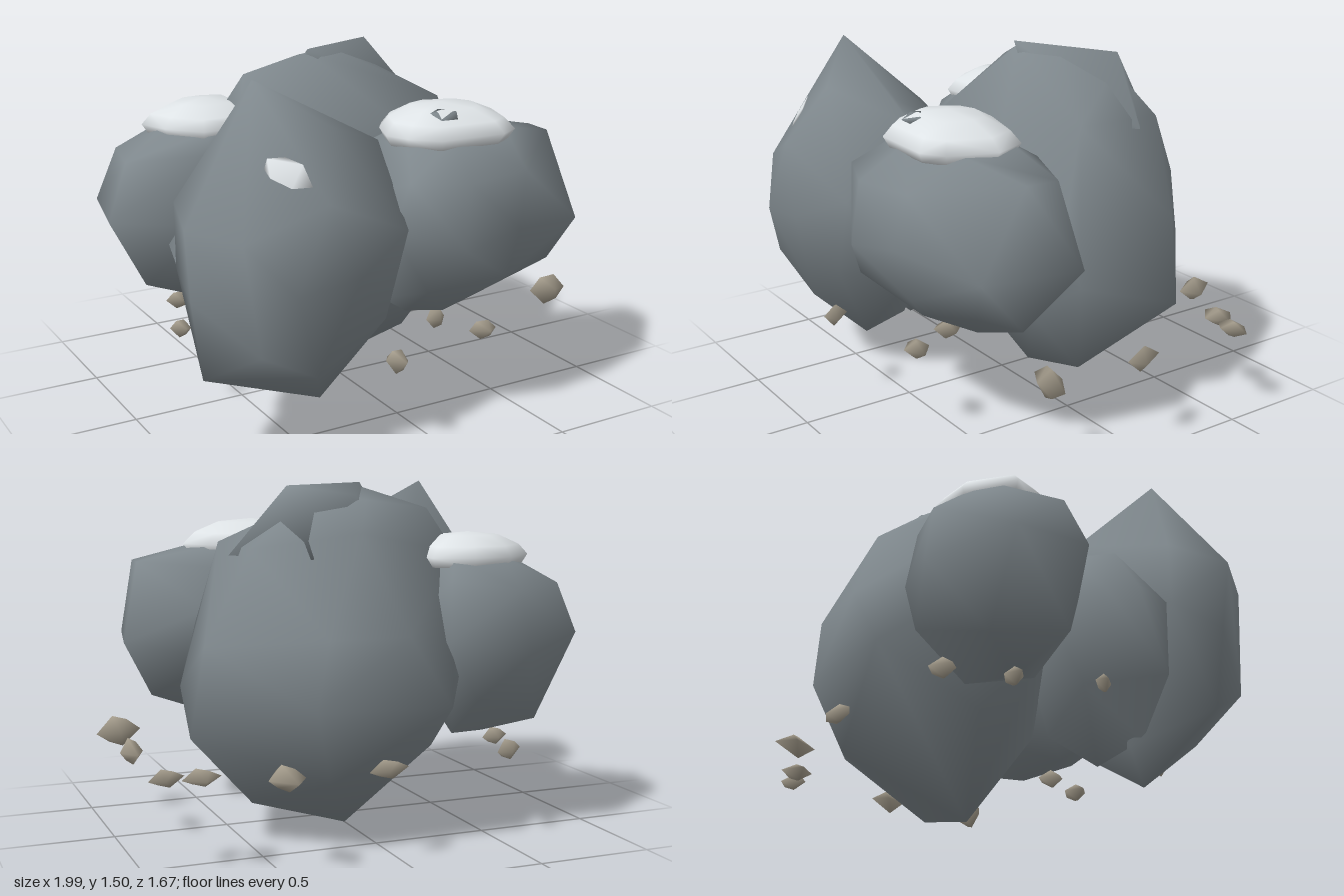
import * as THREE from 'three';
import { mergeVertices } from 'three/addons/utils/BufferGeometryUtils.js';
import { ConvexGeometry } from 'three/addons/geometries/ConvexGeometry.js';

const stone = new THREE.MeshStandardMaterial({ color: 0x7f888d });
stone.name = 'grey stone';
const snow = new THREE.MeshStandardMaterial({ color: 0xdee3e6 });
snow.name = 'pale cap';
const gravel = new THREE.MeshStandardMaterial({ color: 0xa39b8b });
gravel.name = 'tan gravel';

// Smooth-shaded hull around a few corner points
function hull(name, points, material) {
  let g = new ConvexGeometry(points.map((p) => new THREE.Vector3(...p)));
  g.deleteAttribute('normal');
  g = mergeVertices(g, 1e-4);
  g.computeVertexNormals();
  const mesh = new THREE.Mesh(g, material);
  mesh.name = name;
  return mesh;
}

// Low dome: a ground-plan outline, shrinking as it rises
function cap(name, outline, rimY, topY) {
  const n = outline.length;
  const cx = outline.reduce((s, p) => s + p[0], 0) / n;
  const cz = outline.reduce((s, p) => s + p[1], 0) / n;
  const pts = [];
  for (const [k, t] of [[0.9, -0.3], [1, 0.08], [0.85, 0.48], [0.5, 0.87]]) {
    for (const [x, z] of outline) {
      pts.push([cx + (x - cx) * k, rimY + (topY - rimY) * t, cz + (z - cz) * k]);
    }
  }
  pts.push([cx, topY, cz]);
  return hull(name, pts, snow);
}

export function createModel() {
  const model = new THREE.Group();
  model.name = 'boulderCluster';

  // Large rear boulder, pointed at the bottom
  model.add(hull('largeBoulder', [
    [0, 0, -0.15], [0.42, 0.12, -0.12], [0.25, 0.3, -0.62],
    [-0.35, 0.35, -0.3], [-0.1, 0.4, 0.12], [0.4, 0.42, 0.12],
    [0.76, 0.48, -0.37], [0.68, 0.62, 0.08], [0.35, 0.62, -0.73],
    [-0.24, 0.6, -0.72], [-0.48, 0.7, -0.05], [-0.43, 0.8, -0.45],
    [0.12, 0.85, 0.18], [-0.14, 0.85, 0.18], [0.6, 0.9, 0.1],
    [0.7, 0.85, -0.38], [0.3, 0.9, -0.73], [-0.04, 0.9, -0.74],
    [0.52, 1.24, -0.43], [0.53, 1.25, -0.02], [0.1, 1.3, -0.57],
    [-0.3, 1.2, 0.1], [0.2, 1.2, 0.14], [-0.34, 1.39, -0.25],
    [-0.45, 1.2, -0.31], [-0.48, 1.05, -0.04],
    [0.3, 1.41, -0.38], [-0.08, 1.48, -0.14], [0.12, 1.46, -0.22], [0, 1.43, -0.38],
  ], stone));
  // Angular crest breaking through its top
  model.add(hull('crest', [
    [0.34, 1.49, -0.36], [-0.08, 1.5, -0.12], [0.05, 1.45, -0.38], [0.57, 1.21, -0.3],
    [0.15, 1.2, -0.08], [0.3, 1.2, -0.55], [-0.2, 1.2, -0.3],
  ], stone));

  // Peaked boulder at the front
  model.add(hull('peakedBoulder', [
    [-0.38, 0.16, 0.5], [-0.89, 0.34, 0.48], [-0.5, 0.35, 0.7],
    [-0.2, 0.3, 0.4], [-0.55, 0.25, 0.3], [-0.04, 0.52, 0.45],
    [-0.94, 0.68, 0.5], [-0.65, 0.75, 0.83], [-0.38, 0.78, 0.83],
    [-0.76, 0.5, 0.74], [-0.2, 0.55, 0.72], [-0.9, 0.75, 0.27],
    [-0.1, 0.9, 0.72], [-0.04, 0.95, 0.38], [-0.82, 0.95, 0.72],
    [-0.97, 0.98, 0.53], [-0.9, 1.02, 0.27], [-0.44, 0.9, 0.11],
    [-0.15, 0.85, 0.17], [-0.5, 1.08, 0.8], [-0.06, 1.2, 0.42],
    [-0.23, 1.28, 0.4], [-0.2, 1.15, 0.18], [-0.44, 1.2, 0.14],
    [-0.4, 1.33, 0.64], [-0.63, 1.5, 0.43],
  ], stone));

  // Boulder wedged between the peaked and rear ones
  model.add(hull('wedgedBoulder', [
    [-0.35, 0.22, 0.28], [-0.6, 0.27, 0.33], [-0.82, 0.47, 0.3],
    [-0.25, 0.35, 0.1], [-0.6, 0.45, 0.04], [-0.89, 0.75, 0.25],
    [-0.87, 0.8, 0.13], [-0.79, 0.8, 0.02], [-0.5, 0.8, -0.06],
    [-0.2, 0.8, 0], [-0.7, 1.04, 0.15], [-0.45, 1.12, 0.08],
    [-0.2, 1.13, 0.15], [-0.4, 1.12, 0.3], [-0.05, 0.7, 0.3], [0, 0.8, 0.2],
  ], stone));

  // Rounded front boulder
  model.add(hull('frontBoulder', [
    [0.1, 0.42, 0.4], [0.4, 0.41, 0.4], [0.2, 0.45, 0.54], [0.73, 0.53, 0.4],
    [0.3, 0.52, 0.21], [-0.05, 0.52, 0.45], [0, 0.62, 0.72], [0.4, 0.62, 0.71],
    [0.7, 0.62, 0.6], [0.5, 0.72, 0.12], [-0.05, 0.72, 0.2], [0.89, 0.8, 0.23],
    [0.81, 0.8, 0.65], [-0.13, 0.88, 0.65], [-0.12, 0.9, 0.22], [0.12, 0.8, 0.82],
    [0.4, 0.85, 0.79], [0.42, 0.95, 0.08], [0.55, 0.95, 0.09], [-0.08, 1.08, 0.7],
    [0.15, 1.07, 0.79], [0.45, 1.08, 0.75], [0.8, 1.15, 0.44], [0.81, 1.15, 0.3],
    [0.4, 1.12, 0.1], [0, 1.17, 0.28], [0, 1.18, 0.55],
    [0.2, 1.21, 0.22], [0.5, 1.21, 0.28], [0.5, 1.21, 0.53], [0.2, 1.21, 0.6],
  ], stone));

  // Smaller boulder at the back
  model.add(hull('backBoulder', [
    [-0.6, 0.4, -0.3], [-0.4, 0.42, -0.4], [-0.75, 0.48, -0.5], [-0.85, 0.52, -0.2],
    [-0.45, 0.5, -0.1], [-0.4, 0.6, -0.63], [-1, 0.82, -0.21], [-0.95, 0.85, -0.5],
    [-0.61, 0.8, -0.71], [-0.28, 0.85, -0.62], [-0.63, 0.8, 0], [-0.3, 0.8, -0.02],
    [-0.2, 0.85, -0.3], [-0.9, 1.06, -0.25], [-0.85, 1.07, -0.5], [-0.58, 1.06, -0.66],
    [-0.3, 1.1, -0.58], [-0.6, 1.1, -0.05], [-0.72, 1.18, -0.3], [-0.58, 1.19, -0.5],
    [-0.35, 1.19, -0.5], [-0.35, 1.18, -0.12], [-0.57, 1.18, -0.13],
  ], stone));

  // Pale caps lying on the boulders
  model.add(cap('frontCap', [
    [-0.04, 0.45], [0.02, 0.3], [0.08, 0.22], [0.23, 0.17], [0.5, 0.25],
    [0.57, 0.4], [0.5, 0.6], [0.4, 0.66], [0.1, 0.65], [0, 0.55],
  ], 1.21, 1.33));
  model.add(cap('backCap', [
    [-0.77, -0.38], [-0.6, -0.54], [-0.42, -0.56], [-0.25, -0.5],
    [-0.27, -0.25], [-0.35, -0.11], [-0.6, -0.1], [-0.72, -0.24],
  ], 1.18, 1.29));
  // Thin patch on the peaked boulder
  model.add(hull('peakPatch', [
    [-0.68, 1.2, 0.622], [-0.66, 1.235, 0.608], [-0.6, 1.24, 0.638], [-0.55, 1.215, 0.686],
    [-0.54, 1.14, 0.744], [-0.61, 1.135, 0.71], [-0.67, 1.17, 0.653], [-0.61, 1.18, 0.66],
  ], snow));
  // Bit of stone poking through the front cap
  model.add(hull('exposedStone', [
    [0.12, 1.31, 0.53], [0.17, 1.32, 0.51], [0.235, 1.31, 0.55],
    [0.215, 1.287, 0.59], [0.14, 1.287, 0.585], [0.17, 1.26, 0.55],
  ], stone));

  // Loose pebbles: x, z, half sizes in x, z and y
  const pebbles = [
    [0.48, -0.74, 0.07, 0.1, 0.055], [0.78, -0.6, 0.08, 0.075, 0.037],
    [0.91, -0.56, 0.075, 0.055, 0.037], [0.93, -0.05, 0.045, 0.09, 0.058],
    [0.89, 0.39, 0.1, 0.06, 0.07], [0.05, -0.74, 0.09, 0.045, 0.04],
    [-0.17, 0.76, 0.045, 0.06, 0.052], [0.33, 0.65, 0.07, 0.06, 0.042],
    [0.23, 0.44, 0.055, 0.06, 0.045], [-0.78, 0, 0.045, 0.045, 0.04],
    [-0.65, -0.33, 0.06, 0.045, 0.04], [-0.57, -0.6, 0.06, 0.055, 0.045],
  ];
  pebbles.forEach(([x, z, a, b, h], i) => {
    const t = (i % 3 - 1) * 0.2;
    const pebble = hull('pebble', [
      [-a, 0.1 * h, t * b], [a, -0.1 * h, -t * b], [t * a, 0, -b], [-t * a, 0.2 * h, b],
      [0.25 * a, h, 0.2 * b], [-0.35 * a, 0.8 * h, -0.2 * b],
      [-0.2 * a, -h, 0.1 * b], [0.4 * a, -0.7 * h, 0.3 * b],
    ], gravel);
    pebble.position.set(x, 0.375, z);
    model.add(pebble);
  });
  return model;
}
